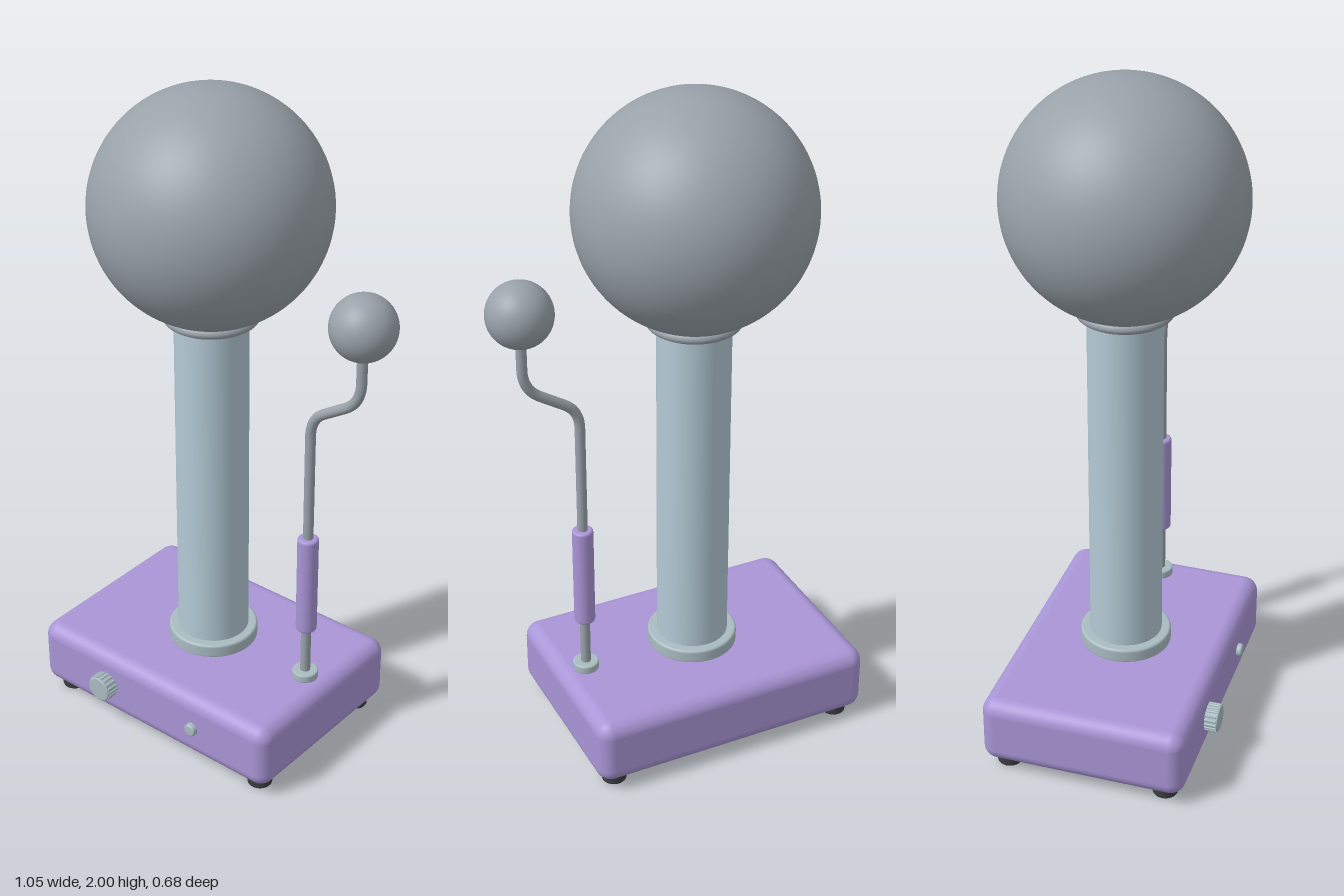
import * as THREE from 'three';
import { RoundedBoxGeometry } from 'three/addons/geometries/RoundedBoxGeometry.js';

export function createModel() {
  const root = new THREE.Group();
  root.name = 'staticGenerator';

  const mat = (name, color) => {
    const m = new THREE.MeshStandardMaterial({ color });
    m.name = name;
    return m;
  };
  const purple = mat('purple paint', 0xa995d6);
  const steel = mat('grey steel', 0x99a2a9);
  const tube = mat('pale blue tube', 0xb4cad5);
  const trim = mat('pale grey trim', 0xa9bcc1);
  const rubber = mat('dark rubber', 0x3b3d42);

  const CX = -0.087, CZ = -0.005, ROD_X = 0.267, BASE_TOP = 0.24;

  const add = (name, geo, material, x = 0, y = 0, z = 0, parent = root) => {
    const m = new THREE.Mesh(geo, material);
    m.name = name;
    m.position.set(x, y, z);
    parent.add(m);
    return m;
  };

  // Solid of revolution with rounded rims of radius b
  const disc = (r, h, b, segments = 48) => {
    const pts = [new THREE.Vector2(0, 0)];
    for (let i = 0; i <= 4; i++) {
      const a = (i / 4) * Math.PI / 2;
      pts.push(new THREE.Vector2(r - b + b * Math.sin(a), b - b * Math.cos(a)));
    }
    for (let i = 0; i <= 4; i++) {
      const a = (i / 4) * Math.PI / 2;
      pts.push(new THREE.Vector2(r - b + b * Math.cos(a), h - b + b * Math.sin(a)));
    }
    pts.push(new THREE.Vector2(0, h));
    return new THREE.LatheGeometry(pts, segments);
  };

  // Base box and feet
  add('base', new RoundedBoxGeometry(0.88, 0.21, 0.61, 6, 0.045), purple, CX - 0.001, 0.135, CZ);
  for (const sx of [-1, 1]) {
    for (const sz of [-1, 1]) {
      add('foot', disc(0.037, 0.04, 0.006, 32), rubber, CX + sx * 0.373, 0, CZ + sz * 0.238);
    }
  }

  // Column with its foot ring and the collar under the globe
  add('columnRing', disc(0.135, 0.045, 0.008), trim, CX, BASE_TOP - 0.005, CZ);
  add('column', new THREE.CylinderGeometry(0.107, 0.107, 1.1, 64), tube, CX, 0.81, CZ);
  add('globeCollar', disc(0.139, 0.028, 0.013, 64), steel, CX, 1.322, CZ);
  add('globe', new THREE.SphereGeometry(0.339, 64, 48), steel, CX, 1.661, CZ);

  // Discharge wand: socket, bent rod, grip and ball
  const wand = new THREE.Group();
  wand.name = 'wand';
  wand.position.set(ROD_X, 0, CZ);
  root.add(wand);
  add('wandSocket', disc(0.039, 0.027, 0.005, 32), trim, 0, BASE_TOP - 0.002, 0, wand);

  const v = (x, y) => new THREE.Vector3(x, y, 0);
  const rodPath = new THREE.CurvePath();
  rodPath.add(new THREE.LineCurve3(v(0, 0.24), v(0, 1.07)));
  rodPath.add(new THREE.QuadraticBezierCurve3(v(0, 1.07), v(0, 1.13), v(0.045, 1.157)));
  rodPath.add(new THREE.LineCurve3(v(0.045, 1.157), v(0.118, 1.203)));
  rodPath.add(new THREE.QuadraticBezierCurve3(v(0.118, 1.203), v(0.165, 1.235), v(0.165, 1.295)));
  rodPath.add(new THREE.LineCurve3(v(0.165, 1.295), v(0.165, 1.44)));
  add('wandRod', new THREE.TubeGeometry(rodPath, 120, 0.015, 20), steel, 0, 0, 0, wand);
  add('wandGrip', disc(0.031, 0.32, 0.008, 32), purple, 0, 0.413, 0, wand);
  add('wandBall', new THREE.SphereGeometry(0.094, 48, 32), steel, 0.165, 1.463, 0, wand);

  // Ribbed knob on the front
  const knob = new THREE.Group();
  knob.name = 'knob';
  knob.position.set(-0.258, 0.135, 0.295);
  knob.rotation.x = Math.PI / 2;
  root.add(knob);
  add('knobBody', disc(0.039, 0.044, 0.004, 40), trim, 0, 0, 0, knob);
  const ribs = 18;
  for (let i = 0; i < ribs; i++) {
    const a = (i / ribs) * Math.PI * 2;
    add('knobRib', new THREE.CylinderGeometry(0.0045, 0.0045, 0.038, 8), trim,
      Math.cos(a) * 0.0385, 0.021, Math.sin(a) * 0.0385, knob);
  }

  // Small indicator on the front
  const lamp = add('indicator', disc(0.02, 0.022, 0.006, 32), trim, 0.082, 0.135, 0.294);
  lamp.rotation.x = Math.PI / 2;

  return root;
}
